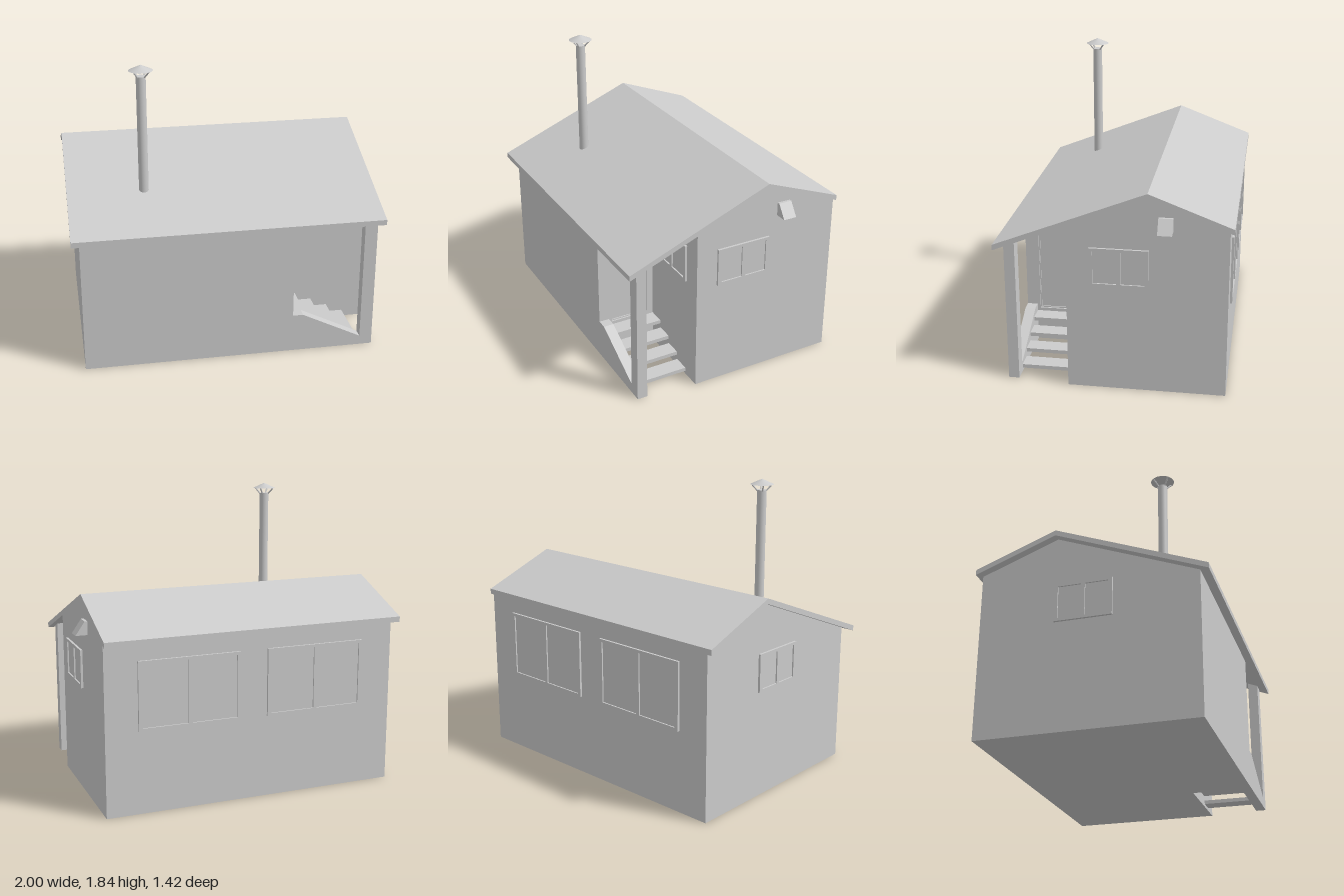
import * as THREE from 'three';

const grey = new THREE.MeshStandardMaterial({ color: 0xcccccc });
const grey2 = new THREE.MeshStandardMaterial({ color: 0xcccccc, side: THREE.DoubleSide });

// Roof: ridge and eave heights of the top surface
const RIDGE = { z: -0.21, y: 1.26 }, FRONT = { z: 0.71, y: 0.895 }, BACK = { z: -0.71, y: 1.07 };
const THICK = 0.034;
const roofTop = (z) => {
  const e = z > RIDGE.z ? FRONT : BACK;
  return RIDGE.y + (e.y - RIDGE.y) * (z - RIDGE.z) / (e.z - RIDGE.z);
};
const under = (z) => roofTop(z) - THICK;

function mesh(name, geo, mat = grey) {
  const m = new THREE.Mesh(geo, mat);
  m.name = name;
  return m;
}

function box(name, x0, x1, y0, y1, z0, z1) {
  const m = mesh(name, new THREE.BoxGeometry(x1 - x0, y1 - y0, z1 - z0));
  m.position.set((x0 + x1) / 2, (y0 + y1) / 2, (z0 + z1) / 2);
  return m;
}

const rectPath = (x0, x1, y0, y1, Type = THREE.Shape) => new Type([
  [x0, y0], [x1, y0], [x1, y1], [x0, y1]].map(p => new THREE.Vector2(...p)));

// Extrudes a [z, y] profile along x
function extrudeX(name, profile, x0, x1, hole) {
  const shape = new THREE.Shape(profile.map(([z, y]) => new THREE.Vector2(-z, y)));
  if (hole) shape.holes.push(rectPath(-hole[1], -hole[0], hole[2], hole[3], THREE.Path));
  const geo = new THREE.ExtrudeGeometry(shape, { depth: x1 - x0, bevelEnabled: false });
  geo.rotateY(Math.PI / 2).translate(x0, 0, 0);
  return mesh(name, geo);
}

// Extrudes an [x, y] profile along z
function extrudeZ(name, profile, z0, z1) {
  const shape = new THREE.Shape(profile.map(p => new THREE.Vector2(...p)));
  const geo = new THREE.ExtrudeGeometry(shape, { depth: z1 - z0, bevelEnabled: false });
  return mesh(name, geo.translate(0, 0, z0));
}

// Two-pane window facing +z, its back on z = 0
function makeWindow(name, w, h) {
  const g = new THREE.Group();
  g.name = name;
  const side = 0.024, rail = 0.018, mid = 0.012, depth = 0.014;
  const frame = rectPath(-w / 2, w / 2, -h / 2, h / 2);
  for (const s of [-1, 1]) {
    const a = s * mid, b = s * (w / 2 - side);
    frame.holes.push(rectPath(Math.min(a, b), Math.max(a, b), -h / 2 + rail, h / 2 - rail, THREE.Path));
  }
  g.add(mesh('windowFrame', new THREE.ExtrudeGeometry(frame, { depth, bevelEnabled: false })));
  g.add(box('windowGlass', -w / 2 + side / 2, w / 2 - side / 2, -h / 2 + rail / 2, h / 2 - rail / 2, 0, 0.005));
  return g;
}

export function createModel() {
  const house = new THREE.Group();
  house.name = 'cabin';
  const gable = (zFront) => [
    [zFront, 0], [zFront, under(zFront)], [RIDGE.z, RIDGE.y - THICK],
    [-0.685, under(-0.685)], [-0.685, 0]].reverse();

  // Walls, with the porch cut out of the front left corner
  house.add(extrudeX('mainWalls', gable(0.65), -0.95, 0.33));
  house.add(extrudeX('porchSideWalls', gable(0.27), 0.33, 0.925));
  house.add(extrudeX('doorWall',
    [[0.65, 0], [0.27, 0], [0.27, under(0.27)], [0.65, under(0.65)]], 0.33, 0.365,
    [0.31, 0.565, 0.225, 0.805]));

  // Roof
  house.add(extrudeX('roof', [
    [FRONT.z, FRONT.y - THICK], [RIDGE.z, RIDGE.y - THICK], [BACK.z, BACK.y - THICK],
    [BACK.z, BACK.y], [RIDGE.z, RIDGE.y], [FRONT.z, FRONT.y]], -1, 0.925));

  // Door set into its opening
  house.add(extrudeX('doorFrame',
    [[0.565, 0.225], [0.31, 0.225], [0.31, 0.805], [0.565, 0.805]], 0.33, 0.355,
    [0.317, 0.558, 0.232, 0.798]));
  house.add(box('door', 0.33, 0.348, 0.232, 0.798, 0.317, 0.558));
  const knob = mesh('doorKnob', new THREE.SphereGeometry(0.008, 12, 8));
  knob.position.set(0.354, 0.465, 0.358);
  house.add(knob);

  // Porch post, stair side panel and open treads
  house.add(extrudeX('porchPost',
    [[0.65, 0], [0.585, 0], [0.585, under(0.585)], [0.65, under(0.65)]], 0.81, 0.89));
  house.add(extrudeZ('stairPanel',
    [[0.365, 0], [0.81, 0], [0.81, 0.06], [0.43, 0.25], [0.365, 0.25]], 0.585, 0.65));
  for (let i = 0; i < 4; i++) {
    const x = 0.47 + i * 0.11, y = 0.204 - i * 0.0535;
    house.add(box('stairTread', x - 0.105, x, y - 0.024, y, 0.27, 0.585));
  }

  // Windows: name, width, height, position, turn about y
  const windows = [
    ['leftWindow', 0.355, 0.24, [0.925, 0.795, -0.043], Math.PI / 2],
    ['rightWindow', 0.355, 0.24, [-0.95, 0.795, -0.043], -Math.PI / 2],
    ['porchWindow', 0.355, 0.24, [0.628, 0.795, 0.27], 0],
    ['backWindow', 0.645, 0.425, [0.4, 0.728, -0.685], Math.PI],
    ['backWindow', 0.645, 0.425, [-0.422, 0.728, -0.685], Math.PI],
  ];
  for (const [name, w, h, pos, turn] of windows) {
    const win = makeWindow(name, w, h);
    win.position.set(...pos);
    win.rotation.y = turn;
    house.add(win);
  }

  // Vent hood on the gable, open below
  const vent = new THREE.Group();
  vent.name = 'ventHood';
  const outer = [[0.925, 1.04], [1, 1.04], [0.942, 1.123], [0.925, 1.123]];
  vent.add(extrudeZ('ventCheek', outer, -0.36, -0.355));
  vent.add(extrudeZ('ventCheek', outer, -0.28, -0.275));
  vent.add(extrudeZ('ventCover', [[0.994, 1.04], [1, 1.04], [0.942, 1.123],
    [0.925, 1.123], [0.925, 1.118], [0.939, 1.118]], -0.355, -0.28));
  house.add(vent);

  // Stovepipe with a cone cap on splayed struts
  const chimney = new THREE.Group();
  chimney.name = 'chimney';
  chimney.position.set(-0.525, 0, 0.325);
  const pipe = mesh('chimneyPipe', new THREE.CylinderGeometry(0.03, 0.03, 0.77, 32));
  pipe.position.y = 1.385;
  const cap = mesh('chimneyCap', new THREE.ConeGeometry(0.074, 0.034, 32), grey2);
  cap.position.y = 1.822;
  chimney.add(pipe, cap);
  for (let i = 0; i < 4; i++) {
    const a = i * Math.PI / 2 + Math.PI / 4;
    const at = (r, y) => new THREE.Vector3(Math.cos(a) * r, y, Math.sin(a) * r);
    const path = new THREE.LineCurve3(at(0.028, 1.765), at(0.066, 1.807));
    chimney.add(mesh('capStrut', new THREE.TubeGeometry(path, 1, 0.005, 6)));
  }
  house.add(chimney);
  return house;
}
